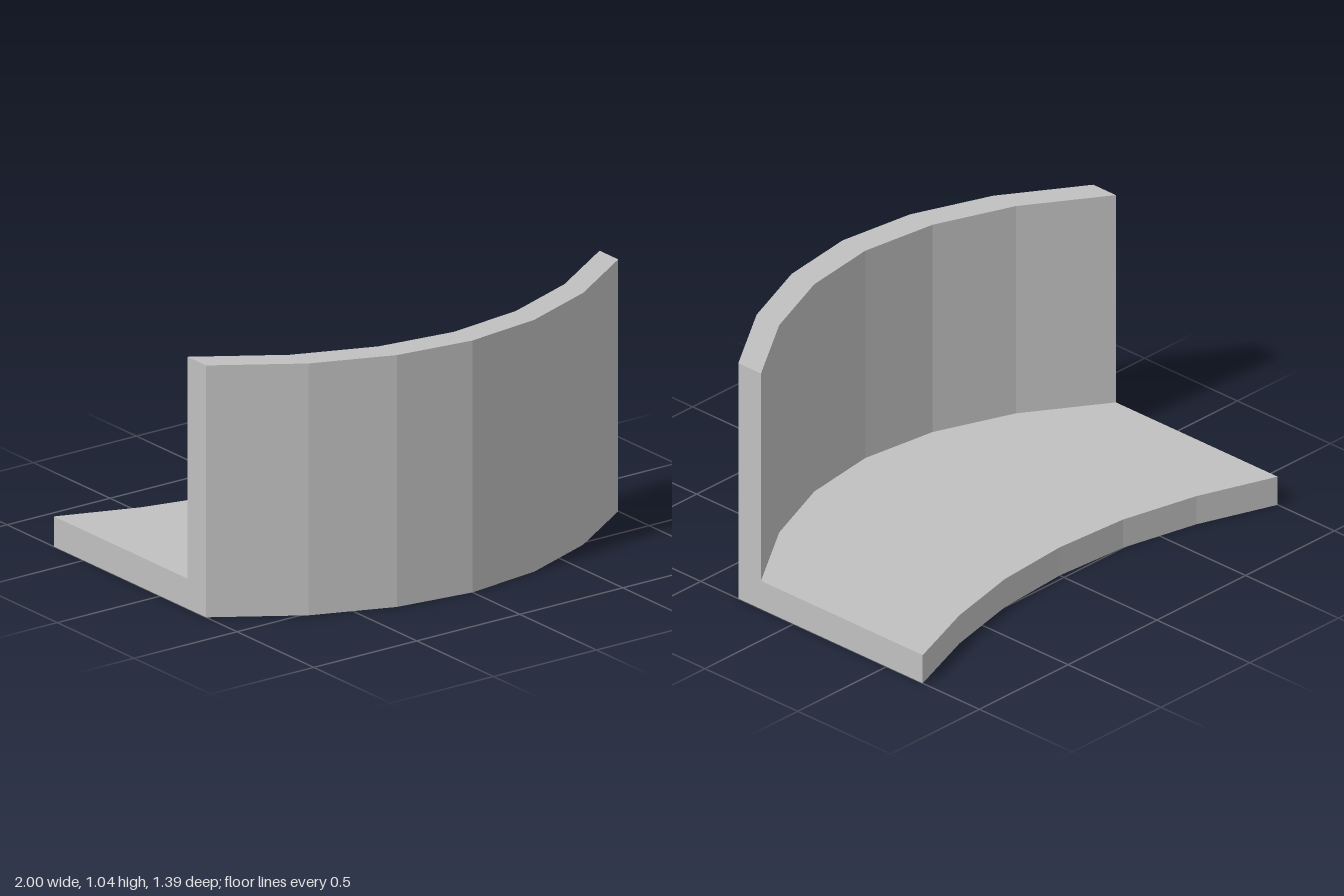
import * as THREE from 'three';

export function createModel() {
  const group = new THREE.Group();
  const grey = new THREE.MeshStandardMaterial({ color: 0xc0c0c0 });
  grey.name = 'plain grey';

  const height = 1.045, plate = 0.125, steps = 6;

  // z of the outer wall face, inner wall face and back edge, from the middle outwards
  const curves = [
    [0.692, 0.648, 0.518, 0.298],
    [0.57, 0.526, 0.396, 0.176],
    [-0.477, -0.5, -0.575, -0.695],
  ];

  // L-shaped section; its first coordinate picks one of the three curves
  const section = new THREE.Shape([
    [0, 0], [2, 0], [2, plate], [1, plate], [1, height], [0, height],
  ].map(([u, y]) => new THREE.Vector2(u, y)));

  // Sweep the section across x, then bend each station onto the curves
  const geometry = new THREE.ExtrudeGeometry(section, { depth: 2, steps, bevelEnabled: false });
  const pos = geometry.attributes.position;
  for (let i = 0; i < pos.count; i++) {
    const x = pos.getZ(i) - 1;
    const curve = curves[Math.round(pos.getX(i))];
    const station = Math.round(Math.abs(x) * steps / 2);
    pos.setXYZ(i, x, pos.getY(i), curve[station]);
  }
  geometry.computeVertexNormals();

  const bracket = new THREE.Mesh(geometry, grey);
  bracket.name = 'curvedWallWithBase';
  group.add(bracket);
  return group;
}
